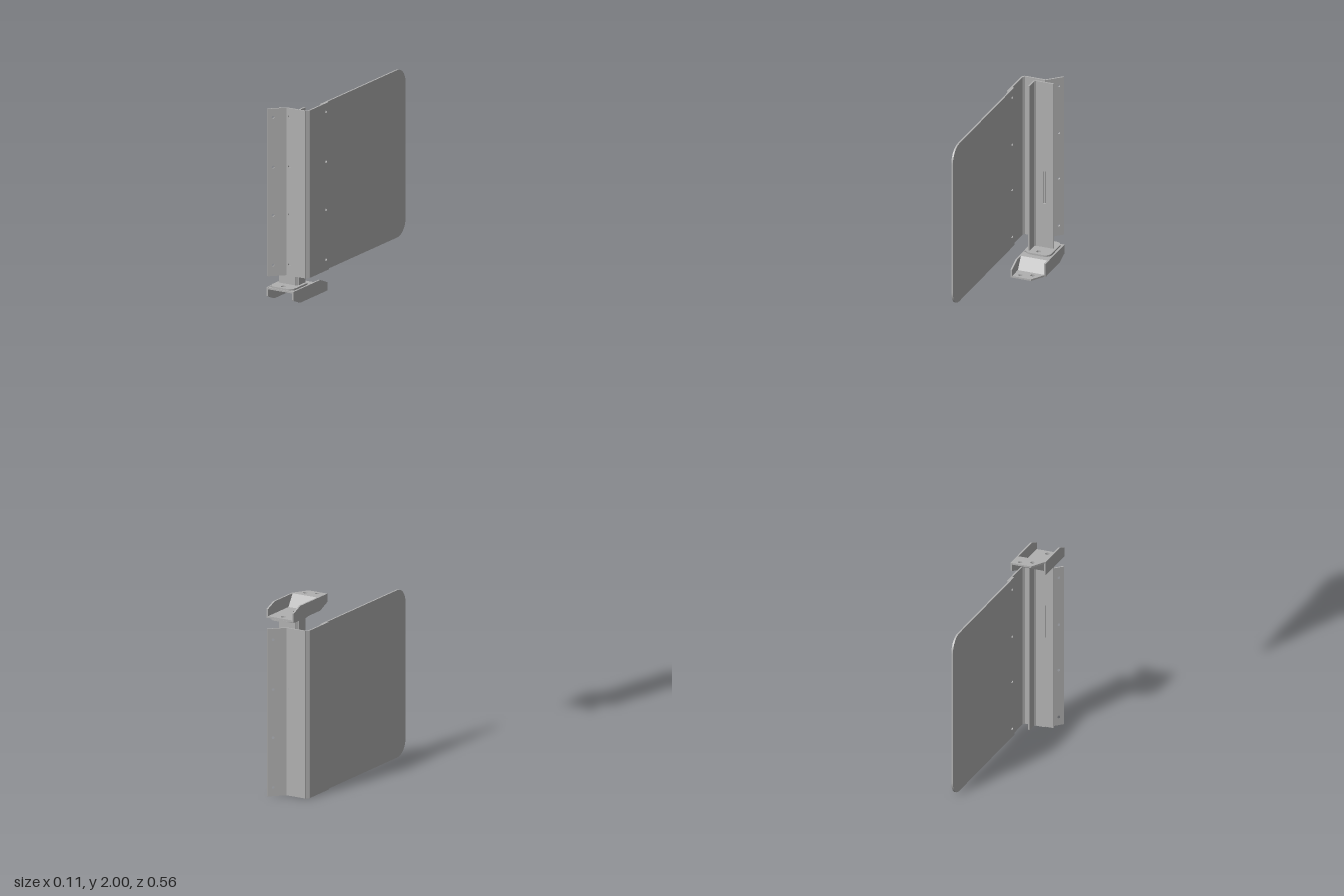
import * as THREE from 'three';

const T = 0.005;                               // sheet thickness
const HOLE_Y = [1.545, 1.69, 1.83, 1.975];     // fastener rows
const LOW = 1.513, HIGH = 2;                   // panel bottom and top

export function createModel() {
  const steel = new THREE.MeshStandardMaterial({ color: 0xb0b0b0 });
  steel.name = 'grey steel';

  const poly = (pts) => new THREE.Shape(pts.map(([a, b]) => new THREE.Vector2(a, b)));
  const circle = (a, b, r) => new THREE.Path().absarc(a, b, r, 0, Math.PI * 2, true);

  function add(parent, name, geometry) {
    const mesh = new THREE.Mesh(geometry, steel);
    mesh.name = name;
    parent.add(mesh);
  }

  // Upright sheet: the shape's x runs from (x, z) along (dx, dz), its y is height
  function upright(parent, name, shape, t, x, z, dx, dz) {
    const u = new THREE.Vector3(dx, 0, dz).normalize();
    const up = new THREE.Vector3(0, 1, 0);
    const n = new THREE.Vector3().crossVectors(u, up);
    const g = new THREE.ExtrudeGeometry(shape, { depth: t, bevelEnabled: false, curveSegments: 8 });
    g.translate(0, 0, -t / 2);
    g.applyMatrix4(new THREE.Matrix4().makeBasis(u, up, n).setPosition(x, 0, z));
    add(parent, name, g);
  }

  // Level sheet: the shape is drawn in x and z, centred on height y
  function level(parent, name, shape, t, y) {
    const g = new THREE.ExtrudeGeometry(shape, { depth: t, bevelEnabled: false, curveSegments: 8 });
    g.translate(0, 0, -t / 2).rotateX(Math.PI / 2).translate(0, y, 0);
    add(parent, name, g);
  }

  // One panel with its bracket and foot; s = -1 turns it upside down about y = 1
  function unit(name, s) {
    const group = new THREE.Group();
    group.name = name;
    const fy = (y) => 1 + s * (y - 1);
    const flip = (pts) => pts.map(([a, b]) => [a, fy(b)]);

    // Rectangular strip between two plan points, with a column of holes
    function strip(label, a, b, y0, y1, holeAt) {
      const dx = b[0] - a[0], dz = b[1] - a[1], len = Math.hypot(dx, dz);
      const shape = poly(flip([[0, y0], [len, y0], [len, y1], [0, y1]]));
      if (holeAt !== undefined) HOLE_Y.forEach((y) => shape.holes.push(circle(holeAt, fy(y), 0.004)));
      upright(group, label, shape, T, a[0], a[1], dx, dz);
    }

    // Large panel with two rounded outer corners
    const w = 0.442, r = 0.045;
    const y0 = Math.min(fy(LOW), fy(HIGH)), y1 = Math.max(fy(LOW), fy(HIGH));
    const panel = new THREE.Shape();
    panel.moveTo(0, y0);
    panel.lineTo(w - r, y0);
    panel.absarc(w - r, y0 + r, r, -Math.PI / 2, 0, false);
    panel.absarc(w - r, y1 - r, r, 0, Math.PI / 2, false);
    panel.lineTo(0, y1);
    HOLE_Y.forEach((y) => panel.holes.push(circle(0.015, fy(y), 0.004)));
    upright(group, 'panel', panel, T, 0.0475, 0.16, 0, -1);

    // Folded bracket: side flange, bend, web and angled wing
    strip('bracketFlange', [0.0525, 0.13], [0.0525, 0.233], LOW, HIGH, 0.015);
    strip('bracketBend', [0.0525, 0.233], [0.046, 0.24], LOW, HIGH);
    strip('bracketWeb', [0.046, 0.24], [-0.016, 0.24], LOW, HIGH, 0.051);
    strip('bracketWing', [-0.016, 0.24], [-0.055, 0.279], LOW, HIGH, 0.039);

    // Angle bar behind the web, reaching the foot
    const bar = poly(flip([[0, 1.483], [0.055, 1.483], [0.055, 1.995], [0, 1.995]]));
    bar.holes.push(new THREE.Path(flip([[0.023, 1.62], [0.032, 1.62], [0.032, 1.72], [0.023, 1.72]])
      .map(([a, b]) => new THREE.Vector2(a, b))));
    upright(group, 'angleBarFace', bar, T, -0.043, 0.2345, 1, 0);
    strip('angleBarBend', [0.011, 0.2345], [0.016, 0.229], 1.483, 1.995);
    strip('angleBarFlange', [0.016, 0.229], [0.016, 0.195], 1.483, 1.995);

    // Foot: front seat, rounded pad, sloped step and rear tab
    const seatHoles = () => [circle(-0.012, 0.2, 0.007), circle(-0.012, 0.263, 0.007)];
    const seat = poly([[-0.055, 0.172], [0.03, 0.172], [0.03, 0.28], [-0.055, 0.28]]);
    seat.holes.push(...seatHoles());
    level(group, 'footSeat', seat, T, fy(1.478));

    const pad = new THREE.Shape();
    const px0 = -0.051, px1 = 0.027, pz0 = 0.183, pz1 = 0.279, pr = 0.02;
    pad.absarc(px1 - pr, pz0 + pr, pr, -Math.PI / 2, 0, false);
    pad.absarc(px1 - pr, pz1 - pr, pr, 0, Math.PI / 2, false);
    pad.absarc(px0 + pr, pz1 - pr, pr, Math.PI / 2, Math.PI, false);
    pad.absarc(px0 + pr, pz0 + pr, pr, Math.PI, Math.PI * 1.5, false);
    pad.holes.push(...seatHoles());
    level(group, 'footPad', pad, 0.005, fy(1.4835));

    const step = poly(flip([[0.172, 1.4805], [0.172, 1.4755], [0.15, 1.441], [0.144, 1.441], [0.144, 1.446], [0.166, 1.4805]]));
    upright(group, 'footStep', step, 0.085, -0.0125, 0, 0, 1);

    const tab = poly([[-0.055, 0.145], [-0.03, 0.102], [0.03, 0.102], [0.03, 0.145]]);
    tab.holes.push(circle(-0.024, 0.128, 0.006), circle(0.008, 0.116, 0.006));
    level(group, 'footTab', tab, T, fy(1.4435));

    // Foot side walls, the right one shorter
    const longWall = [[0.102, 1.441], [0.245, 1.441], [0.28, 1.455], [0.28, 1.481], [0.14, 1.481], [0.102, 1.465]];
    const shortWall = [[0.143, 1.441], ...longWall.slice(1, 4), [0.143, 1.481]];
    upright(group, 'footLeftWall', poly(flip(longWall)), T, 0.03, 0, 0, 1);
    upright(group, 'footRightWall', poly(flip(shortWall)), T, -0.0545, 0, 0, 1);
    return group;
  }

  const model = new THREE.Group();
  model.name = 'panelPair';
  model.add(unit('upperUnit', 1), unit('lowerUnit', -1));
  return model;
}
